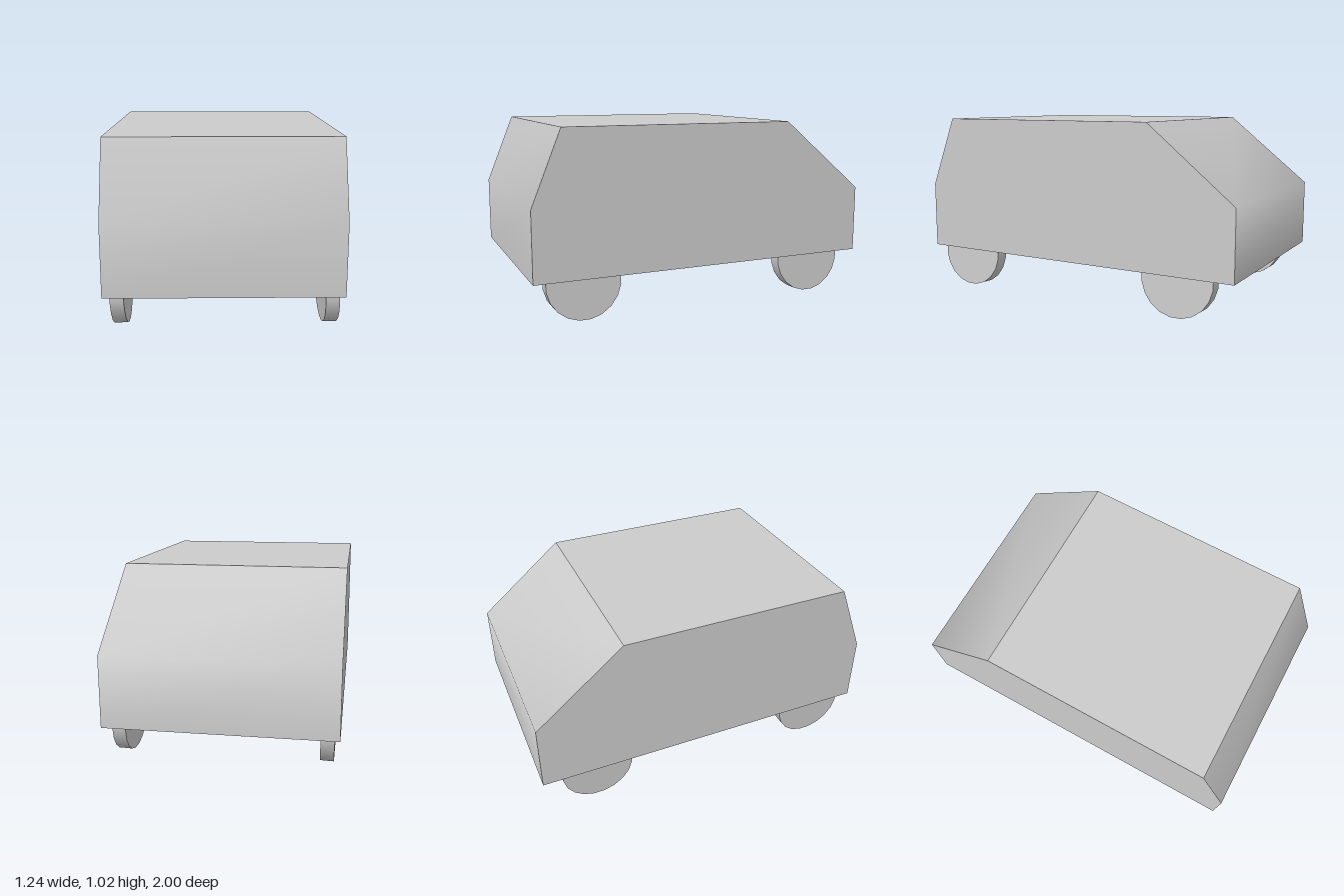
import * as THREE from 'three';

const HALF_WIDTH = 0.62;
// Side profile of the body as [z, y]
const frontLow = [1, 0.225], frontBelt = [1, 0.613], roofFront = [0.835, 1.023];
const roofBack = [-0.5, 1.023], backBelt = [-1, 0.613], backLow = [-1, 0.225];
const profile = [frontLow, frontBelt, roofFront, roofBack, backBelt, backLow];

// Panel spanning the body's width along part of the profile, smooth within itself
function panel(points) {
  const position = [], index = [];
  points.forEach(([z, y], i) => {
    position.push(-HALF_WIDTH, y, z, HALF_WIDTH, y, z);
    if (i > 0) {
      const a = 2 * i - 2;
      index.push(a, a + 1, a + 3, a, a + 3, a + 2);
    }
  });
  const geometry = new THREE.BufferGeometry();
  geometry.setAttribute('position', new THREE.Float32BufferAttribute(position, 3));
  geometry.setIndex(index);
  geometry.computeVertexNormals();
  return geometry;
}

// Flat side wall; side is +1 for the left, -1 for the right
function sideWall(side) {
  const shape = new THREE.Shape(profile.map(([z, y]) => new THREE.Vector2(-side * z, y)));
  const geometry = new THREE.ShapeGeometry(shape);
  geometry.rotateY(side * Math.PI / 2);
  geometry.translate(side * HALF_WIDTH, 0, 0);
  return geometry;
}

export function createModel() {
  const model = new THREE.Group();
  const material = new THREE.MeshStandardMaterial({ color: 0xcccccc });
  const add = (parent, name, geometry) => {
    const mesh = new THREE.Mesh(geometry, material);
    mesh.name = name;
    parent.add(mesh);
    return mesh;
  };

  // Body shell
  const body = new THREE.Group();
  body.name = 'body';
  model.add(body);
  add(body, 'frontPanel', panel([frontLow, frontBelt, roofFront]));
  add(body, 'roof', panel([roofFront, roofBack]));
  add(body, 'backPanel', panel([roofBack, backBelt, backLow]));
  add(body, 'floor', panel([backLow, frontLow]));
  add(body, 'leftSide', sideWall(1));
  add(body, 'rightSide', sideWall(-1));

  // Wheels, all leaning slightly the same way
  const wheel = new THREE.CylinderGeometry(0.208, 0.208, 0.073, 20, 1, false, Math.PI / 20);
  wheel.rotateZ(Math.PI / 2);
  for (const [end, z] of [['front', 0.725], ['back', -0.675]]) {
    for (const [side, x] of [['Left', 0.565], ['Right', -0.555]]) {
      const mesh = add(model, `${end}${side}Wheel`, wheel);
      mesh.position.set(x, 0.207, z);
      mesh.rotation.z = 0.035;
    }
  }
  return model;
}
